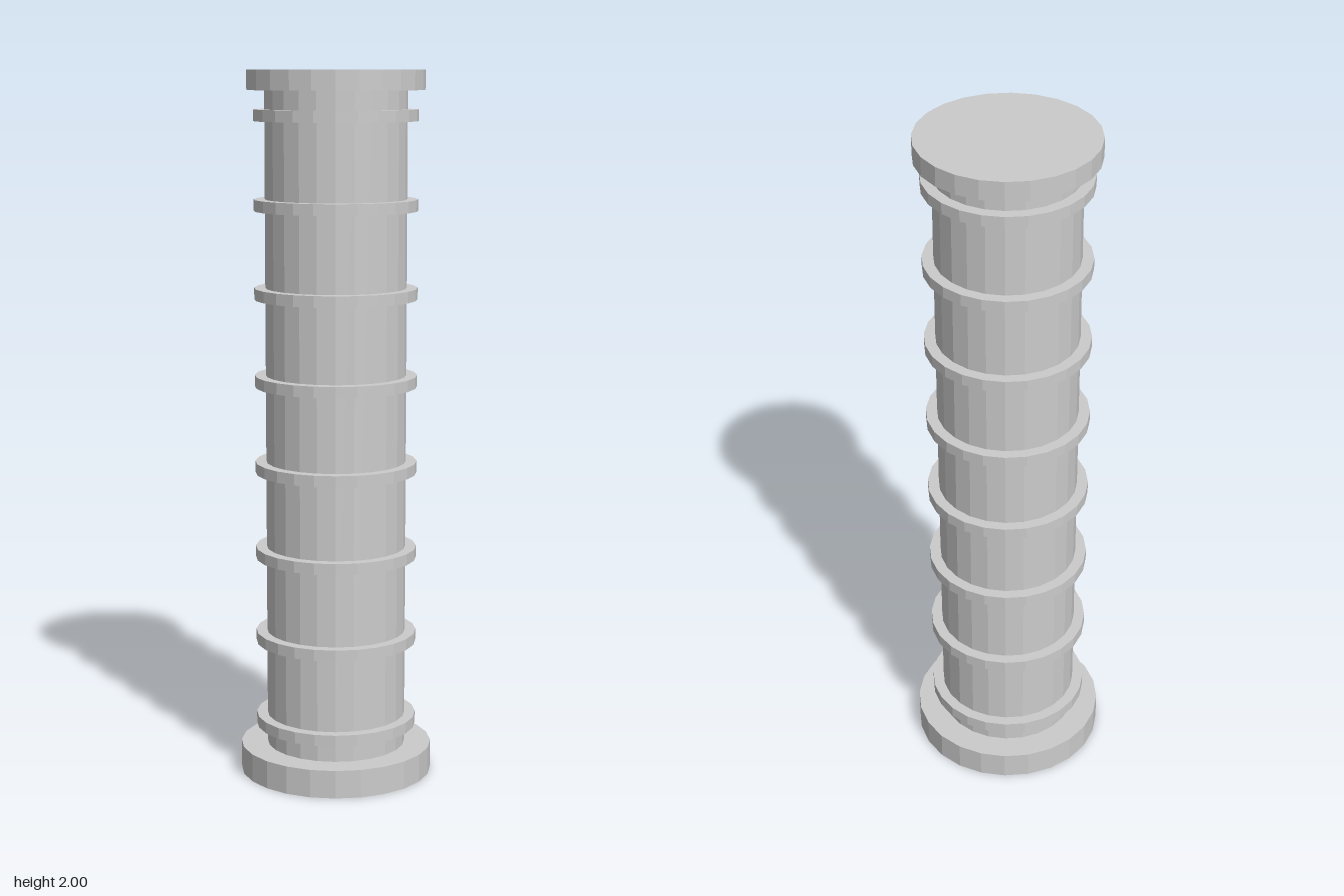
import * as THREE from 'three';

const SIDES = 24;
const material = new THREE.MeshStandardMaterial({ color: 0xcccccc, flatShading: true });

// Upright faceted disc or drum between two heights
function drum(name, radius, bottom, top) {
  const geometry = new THREE.CylinderGeometry(radius, radius, top - bottom, SIDES);
  const mesh = new THREE.Mesh(geometry, material);
  mesh.name = name;
  mesh.position.y = (bottom + top) / 2;
  return mesh;
}

export function createModel() {
  const column = new THREE.Group();
  column.name = 'column';

  column.add(drum('base', 0.274, 0, 0.08));
  column.add(drum('shaft', 0.198, 0.08, 1.945));
  column.add(drum('cap', 0.247, 1.945, 2));

  // Evenly spaced bands around the shaft
  const bands = new THREE.Group();
  bands.name = 'bands';
  const count = 8, first = 0.151, spacing = 0.2465, half = 0.016;
  for (let i = 0; i < count; i++) {
    const y = first + i * spacing;
    bands.add(drum(`band${i + 1}`, 0.229, y - half, y + half));
  }
  column.add(bands);

  return column;
}
